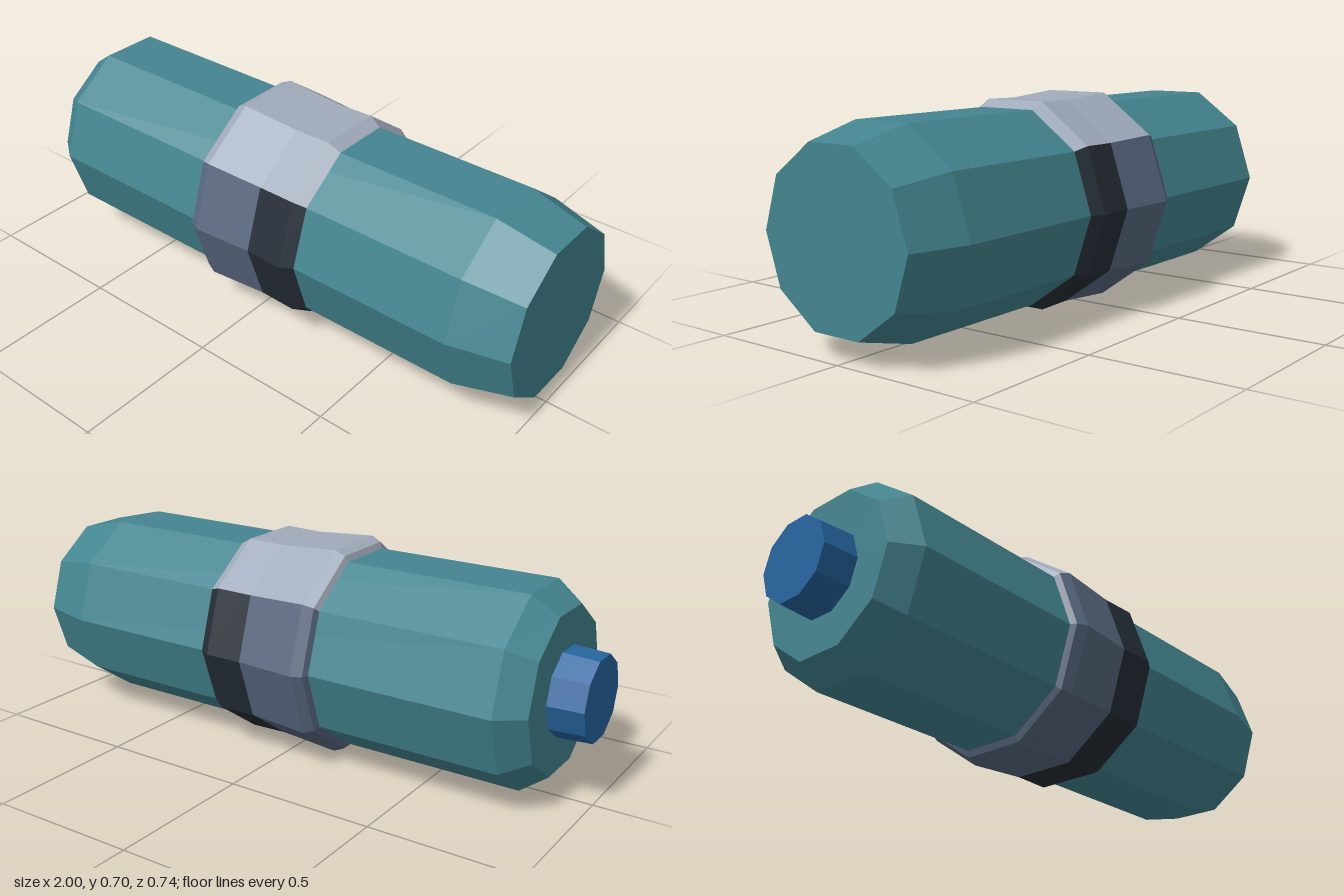
import * as THREE from 'three';

const AXIS_HEIGHT = 0.35;
const SIDES = 10;
const FACET = (Math.PI * 2) / SIDES;

function flatMaterial(name, color) {
  const m = new THREE.MeshStandardMaterial({ color, flatShading: true });
  m.name = name;
  return m;
}

// Revolves [x, radius] points around the x axis, over a run of facets.
// Facet 0 starts at the front corner and the count runs downward.
function turned(name, material, profile, first = 0, count = SIDES) {
  const points = profile.map(([x, r]) => new THREE.Vector2(r, x));
  const geometry = new THREE.LatheGeometry(points, count, first * FACET, count * FACET);
  geometry.rotateZ(-Math.PI / 2);
  const mesh = new THREE.Mesh(geometry, material);
  mesh.name = name;
  return mesh;
}

export function createModel() {
  const teal = flatMaterial('teal', 0x438590);
  const silver = flatMaterial('silver', 0xa0aaba);
  const slate = flatMaterial('slate', 0x596880);
  const charcoal = flatMaterial('charcoal', 0x262e38);
  const blue = flatMaterial('blue', 0x2565a0);

  const model = new THREE.Group();
  model.name = 'canister';

  // Ten-sided body with chamfered ends
  model.add(turned('body', teal, [
    [-0.885, 0], [-0.885, 0.268], [-0.8, 0.331], [0.81, 0.331], [1, 0.282], [1, 0],
  ]));

  // Small plug on the right end
  model.add(turned('endPlug', blue, [[-1, 0], [-1, 0.137], [-0.885, 0.143]]));

  // Raised collar: plate over the three top facets, two bands around the rest
  const wide = [[-0.175, 0.328], [-0.165, 0.352], [-0.13, 0.368], [0.08, 0.353]];
  const narrow = [[0.08, 0.353], [0.21, 0.356], [0.255, 0.329]];
  const collar = new THREE.Group();
  collar.name = 'collar';
  collar.add(
    turned('topPlate', silver, [...wide, ...narrow.slice(1)], 6, 3),
    turned('wideBand', slate, wide, 9, 7),
    turned('narrowBand', charcoal, narrow, 9, 7),
  );
  model.add(collar);

  model.position.y = AXIS_HEIGHT;
  const root = new THREE.Group();
  root.name = 'model';
  root.add(model);
  return root;
}
